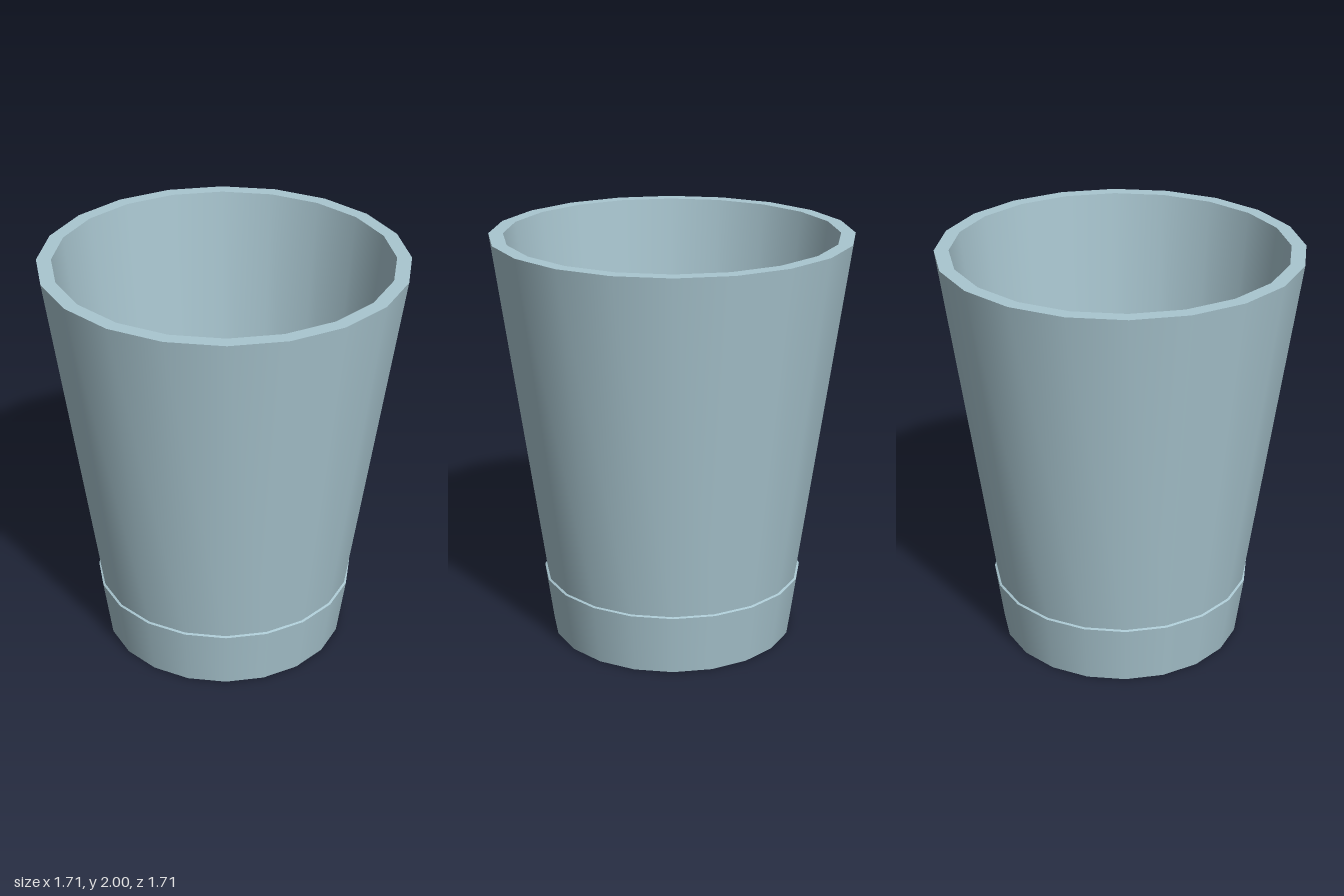
import * as THREE from 'three';

const SIDES = 20;

// One band of the cup, so every corner of the profile stays crisp
// while the shading around the cup is smooth.
function band(name, material, r0, y0, r1, y1) {
  const profile = [new THREE.Vector2(r0, y0), new THREE.Vector2(r1, y1)];
  // Half a step of turn puts flat sides towards the front, back, left and right
  const geometry = new THREE.LatheGeometry(profile, SIDES, Math.PI / SIDES);
  const mesh = new THREE.Mesh(geometry, material);
  mesh.name = name;
  return mesh;
}

export function createModel() {
  const cup = new THREE.Group();
  cup.name = 'cup';
  const material = new THREE.MeshStandardMaterial({ color: 0xa9c6d0 });

  // Profile from the bottom centre, up the outside, over the rim and down inside
  cup.add(
    band('underside', material, 0, 0, 0.6, 0),
    band('baseBand', material, 0.6, 0, 0.641, 0.3),
    band('baseLedge', material, 0.641, 0.3, 0.631, 0.305),
    band('outerWall', material, 0.631, 0.305, 0.866, 2),
    band('rim', material, 0.866, 2, 0.797, 2),
    band('innerWall', material, 0.797, 2, 0.598, 0.015),
    band('innerFloor', material, 0.598, 0.015, 0, 0.015)
  );
  return cup;
}
